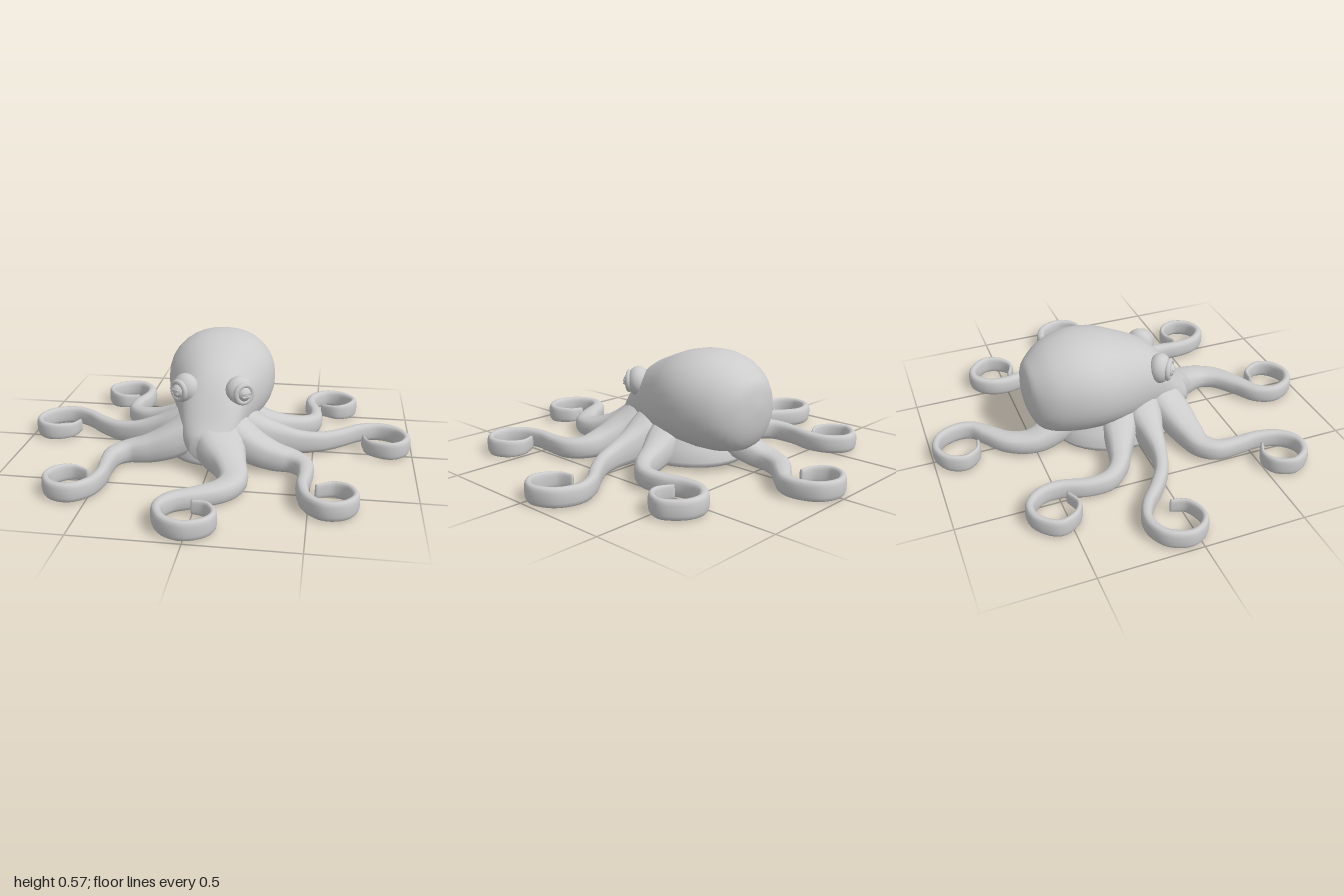
import * as THREE from 'three';

const material = new THREE.MeshStandardMaterial({ color: 0xcccccc, side: THREE.DoubleSide });

// Smooth interpolation of rows of numbers, column by column
function sample(rows, perSpan) {
  const at = i => rows[Math.min(Math.max(i, 0), rows.length - 1)];
  const out = [];
  for (let i = 0; i < rows.length - 1; i++) {
    for (let s = 0; s < perSpan; s++) {
      const t = s / perSpan;
      out.push(rows[i].map((_, k) => {
        const [a, b, c, d] = [at(i - 1)[k], at(i)[k], at(i + 1)[k], at(i + 2)[k]];
        return b + 0.5 * t * (c - a + t * (2 * a - 5 * b + 4 * c - d + t * (3 * (b - c) + d - a)));
      }));
    }
  }
  out.push(rows[rows.length - 1]);
  return out;
}

// Skin a list of closed rings, closing both ends at their centres
function loft(rings) {
  const n = rings[0].length;
  const collapse = ring => {
    const c = ring.reduce((s, p) => s.add(p), new THREE.Vector3()).divideScalar(n);
    return ring.map(() => c);
  };
  const all = [collapse(rings[0]), ...rings, collapse(rings[rings.length - 1])];
  const index = [];
  for (let i = 0; i < all.length - 1; i++) {
    for (let j = 0; j < n; j++) {
      const a = i * n + j, b = i * n + (j + 1) % n;
      index.push(a, b, a + n, b, b + n, a + n);
    }
  }
  const g = new THREE.BufferGeometry().setFromPoints(all.flat());
  g.setIndex(index);
  g.computeVertexNormals();
  return g;
}

// Superellipse outline as [cos, sin] pairs
function outline(n, e) {
  const f = v => Math.sign(v) * Math.abs(v) ** e;
  return Array.from({ length: n }, (_, j) => {
    const a = j / n * Math.PI * 2;
    return [f(Math.cos(a)), f(Math.sin(a))];
  });
}

function part(parent, name, geometry) {
  const m = new THREE.Mesh(geometry, material);
  m.name = name;
  parent.add(m);
  return m;
}

// Arm rows: x, z, half width, top height, bottom height
function armGeometry(rows) {
  const s = sample(rows, 6), shape = outline(16, 0.75);
  return loft(s.map(([x, z, w, top, low], i) => {
    const p = s[Math.max(i - 1, 0)], q = s[Math.min(i + 1, s.length - 1)];
    const side = new THREE.Vector3(q[1] - p[1], 0, p[0] - q[0]).normalize();
    return shape.map(([c, h]) => new THREE.Vector3(
      x + side.x * w * c, (top + low) / 2 + (top - low) / 2 * h, z + side.z * w * c));
  }));
}

const frontArm = [
  [0.03, 0.16, 0.14, 0.31, 0.06], [0.06, 0.27, 0.135, 0.235, 0.02], [0.115, 0.38, 0.085, 0.15, 0],
  [0.15, 0.5, 0.067, 0.108, 0], [0.11, 0.6, 0.058, 0.097, 0], [0, 0.68, 0.046, 0.095, 0],
  [-0.1, 0.74, 0.036, 0.094, 0], [-0.14, 0.83, 0.026, 0.094, 0], [-0.1, 0.93, 0.023, 0.094, 0],
  [-0.01, 0.973, 0.021, 0.093, 0], [0.08, 0.935, 0.019, 0.092, 0], [0.112, 0.86, 0.017, 0.09, 0],
  [0.07, 0.78, 0.014, 0.085, 0.005], [0, 0.765, 0.009, 0.08, 0.012]];
const backArm = [
  [-0.04, -0.3, 0.09, 0.2, 0.06], [-0.07, -0.43, 0.075, 0.14, 0.01], [-0.075, -0.53, 0.062, 0.105, 0],
  [-0.03, -0.63, 0.052, 0.097, 0], [0.06, -0.71, 0.042, 0.095, 0], [0.125, -0.77, 0.032, 0.094, 0],
  [0.14, -0.85, 0.025, 0.094, 0], [0.1, -0.94, 0.022, 0.094, 0], [0.01, -0.977, 0.02, 0.093, 0],
  [-0.08, -0.94, 0.018, 0.092, 0], [-0.115, -0.86, 0.016, 0.09, 0], [-0.07, -0.79, 0.013, 0.085, 0.005],
  [0, -0.77, 0.009, 0.08, 0.012]];
// Arms that appear on both sides, given for +x
const pairedArms = {
  FrontArm: [
    [0.08, 0.16, 0.1, 0.29, 0.06], [0.2, 0.21, 0.09, 0.2, 0.02], [0.31, 0.235, 0.072, 0.14, 0],
    [0.41, 0.255, 0.055, 0.11, 0], [0.47, 0.32, 0.044, 0.1, 0], [0.475, 0.43, 0.034, 0.095, 0],
    [0.468, 0.54, 0.029, 0.095, 0], [0.495, 0.65, 0.026, 0.094, 0], [0.57, 0.717, 0.023, 0.094, 0],
    [0.66, 0.7, 0.021, 0.093, 0], [0.71, 0.62, 0.018, 0.092, 0], [0.68, 0.535, 0.016, 0.09, 0],
    [0.61, 0.505, 0.013, 0.085, 0.005], [0.53, 0.54, 0.008, 0.08, 0.012]],
  SideArm: [
    [0.1, 0.05, 0.1, 0.28, 0.06], [0.22, 0.045, 0.085, 0.21, 0.02], [0.31, 0.04, 0.06, 0.165, 0],
    [0.42, 0.03, 0.04, 0.125, 0], [0.53, -0.005, 0.034, 0.104, 0], [0.63, -0.075, 0.032, 0.096, 0],
    [0.73, -0.16, 0.028, 0.095, 0], [0.83, -0.195, 0.025, 0.094, 0], [0.93, -0.155, 0.023, 0.094, 0],
    [0.973, -0.06, 0.02, 0.093, 0], [0.94, 0.02, 0.018, 0.092, 0], [0.87, 0.05, 0.016, 0.09, 0],
    [0.78, 0.015, 0.013, 0.085, 0.005], [0.753, -0.06, 0.008, 0.08, 0.012]],
  BackArm: [
    [0.1, -0.06, 0.1, 0.26, 0.06], [0.22, -0.1, 0.085, 0.19, 0.02], [0.33, -0.14, 0.06, 0.14, 0],
    [0.43, -0.185, 0.045, 0.115, 0], [0.495, -0.26, 0.038, 0.102, 0], [0.5, -0.37, 0.033, 0.096, 0],
    [0.468, -0.49, 0.029, 0.095, 0], [0.48, -0.59, 0.026, 0.094, 0], [0.55, -0.66, 0.023, 0.094, 0],
    [0.64, -0.65, 0.021, 0.093, 0], [0.708, -0.57, 0.018, 0.092, 0], [0.68, -0.485, 0.016, 0.09, 0],
    [0.61, -0.445, 0.013, 0.085, 0.005], [0.53, -0.475, 0.008, 0.08, 0.012]],
};

// Head and mantle rows: z, half width, top height, bottom height
const mantle = [
  [-0.525, 0.02, 0.34, 0.3], [-0.51, 0.11, 0.43, 0.2], [-0.47, 0.175, 0.475, 0.12], [-0.4, 0.23, 0.525, 0.09],
  [-0.3, 0.268, 0.558, 0.08], [-0.2, 0.28, 0.563, 0.08], [-0.1, 0.265, 0.547, 0.08], [0, 0.227, 0.51, 0.08],
  [0.1, 0.187, 0.465, 0.08], [0.17, 0.163, 0.41, 0.08], [0.23, 0.145, 0.335, 0.07], [0.29, 0.12, 0.245, 0.06],
  [0.34, 0.08, 0.185, 0.06]];

export function createModel() {
  const model = new THREE.Group();
  model.name = 'octopus';

  const shape = outline(32, 0.92);
  part(model, 'headAndMantle', loft(sample(mantle, 3).map(([z, w, top, low]) =>
    shape.map(([c, s]) => new THREE.Vector3(w * c, (top + low) / 2 + (top - low) / 2 * s, z)))));

  // Web joining the arm roots, hollow underneath
  const profile = [[0, 0.11], [0.45, 0.08], [0.8, 0.03], [0.97, 0.015], [1, 0.04], [0.93, 0.1], [0.8, 0.16],
    [0.65, 0.22], [0.4, 0.27], [0, 0.28]].map(p => new THREE.Vector2(...p));
  const web = part(model, 'armWeb', new THREE.LatheGeometry(profile, 40));
  web.scale.set(0.275, 1, 0.34);
  web.position.z = -0.04;

  part(model, 'frontArm', armGeometry(frontArm));
  part(model, 'rearArm', armGeometry(backArm));
  for (const side of [1, -1]) {
    const label = side > 0 ? 'left' : 'right';
    for (const [name, rows] of Object.entries(pairedArms)) {
      part(model, label + name, armGeometry(rows.map(([x, ...rest]) => [x * side, ...rest])));
    }

    // Eye: bulge, ringed lid, eyeball and a slit pupil, turned outward
    const eye = new THREE.Group();
    eye.name = label + 'Eye';
    eye.position.set(0.132 * side, 0.365, 0.152);
    eye.rotation.set(0, 0.65 * side, 0);
    model.add(eye);
    part(eye, 'eyeBulge', new THREE.SphereGeometry(0.073, 24, 16)).scale.set(1, 1.06, 0.8);
    part(eye, 'eyelid', new THREE.TorusGeometry(0.044, 0.014, 10, 28)).position.z = 0.047;
    const ball = part(eye, 'eyeball', new THREE.SphereGeometry(0.038, 20, 14));
    ball.position.z = 0.04;
    for (const y of [0.009, -0.009]) {
      const rim = part(eye, 'pupilRim', new THREE.CapsuleGeometry(0.005, 0.036, 4, 8));
      rim.rotation.z = Math.PI / 2;
      rim.position.set(0, y, 0.073);
    }
  }
  return model;
}
